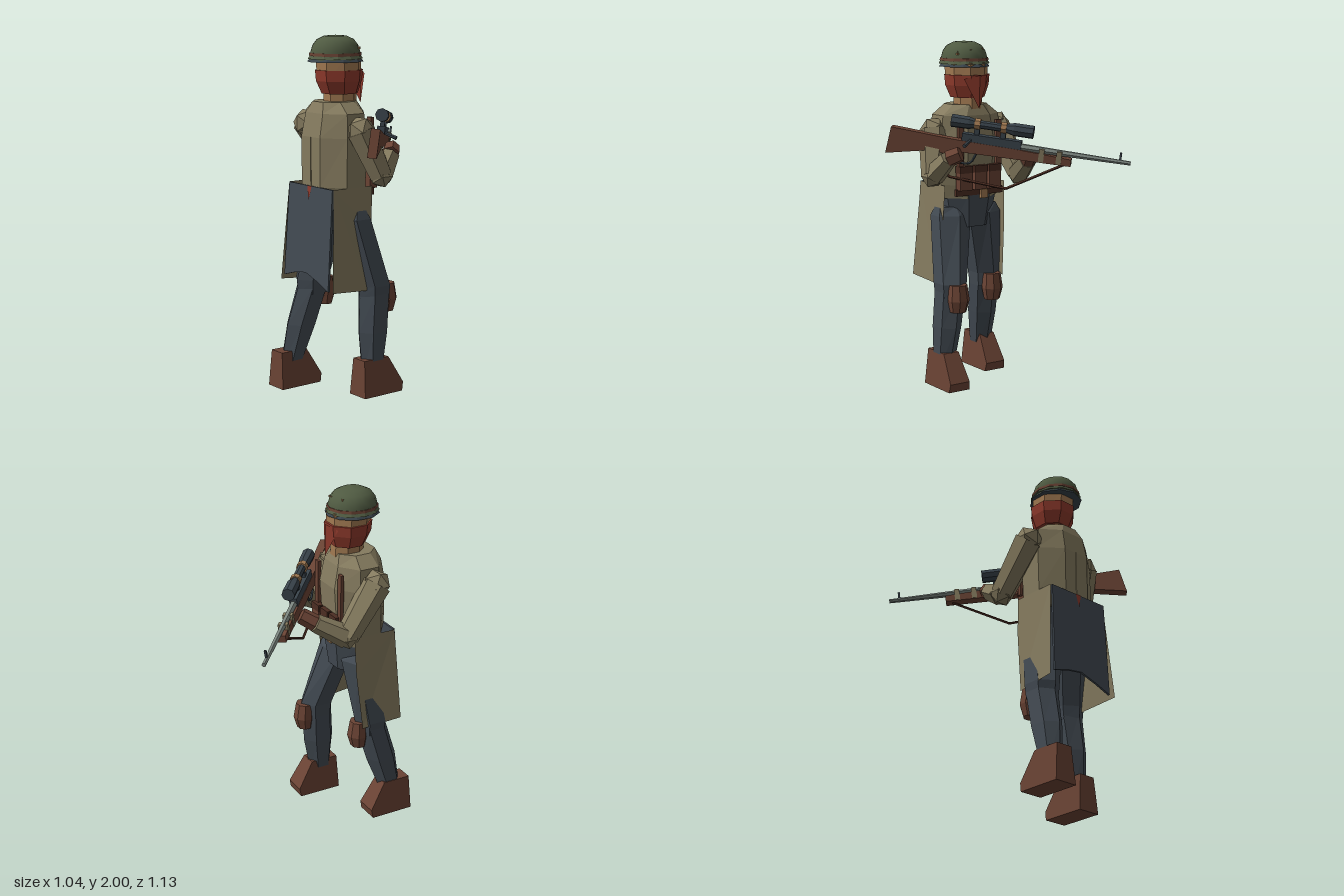
import * as THREE from 'three';

const mat = (name, color, side = THREE.FrontSide) => {
  const m = new THREE.MeshStandardMaterial({ color, side });
  m.name = name;
  return m;
};

export function createModel() {
  const root = new THREE.Group();
  root.name = 'soldier';
  const D = THREE.DoubleSide;
  const khaki = mat('khakiCoat', 0x857b5f, D), slate = mat('slateCloth', 0x434b53, D);
  const green = mat('helmetGreen', 0x505b42), brown = mat('leatherBrown', 0x6a4334);
  const red = mat('scarfRed', 0x8f3a2c, D), skin = mat('tanSkin', 0xa27a52);
  const steel = mat('barrelSteel', 0x7c8680), dark = mat('darkMetal', 0x39434b);
  const strap = mat('strapBrown', 0x4c2d22);

  const add = (parent, name, geo, material, pos = [0, 0, 0], smooth = false) => {
    if (!smooth) {
      if (geo.index) geo = geo.toNonIndexed();
      geo.computeVertexNormals();
    }
    const m = new THREE.Mesh(geo, material);
    m.name = name;
    m.position.set(...pos);
    parent.add(m);
    return m;
  };
  const box = (parent, name, size, pos, material) =>
    add(parent, name, new THREE.BoxGeometry(...size), material, pos);

  // Closed faceted body from horizontal rings [y, x, z, rx, rz], bottom to top
  const loft = (rings, sides = 8) => {
    const v = [], idx = [], k = 1 / Math.cos(Math.PI / sides);
    rings.forEach(([y, x, z, rx, rz]) => {
      for (let i = 0; i < sides; i++) {
        const a = (i + 0.5) / sides * Math.PI * 2;
        v.push(x + Math.cos(a) * rx * k, y, z + Math.sin(a) * rz * k);
      }
    });
    const top = rings.length - 1, n = rings.length * sides;
    for (const r of [rings[0], rings[top]]) v.push(r[1], r[0], r[2]);
    for (let i = 0; i < sides; i++) {
      const j = (i + 1) % sides;
      for (let r = 0; r < top; r++) {
        const a = r * sides + i, c = r * sides + j;
        idx.push(a, a + sides, c, c, a + sides, c + sides);
      }
      idx.push(n, i, j, n + 1, top * sides + j, top * sides + i);
    }
    const g = new THREE.BufferGeometry();
    g.setAttribute('position', new THREE.Float32BufferAttribute(v, 3));
    g.setIndex(idx);
    return g;
  };

  // Thin cloth: a fan of triangles
  const sheet = (pts) => {
    const v = [];
    for (let i = 1; i < pts.length - 1; i++) v.push(...pts[0], ...pts[i], ...pts[i + 1]);
    const g = new THREE.BufferGeometry();
    g.setAttribute('position', new THREE.Float32BufferAttribute(v, 3));
    return g;
  };

  // Tapered prism between two points
  const rod = (parent, name, p, q, r0, r1, material, sides = 6) => {
    const a = new THREE.Vector3(...p), b = new THREE.Vector3(...q), d = b.clone().sub(a);
    const m = add(parent, name, new THREE.CylinderGeometry(r1, r0, d.length(), sides), material);
    m.position.copy(a).add(b).multiplyScalar(0.5);
    m.quaternion.setFromUnitVectors(new THREE.Vector3(0, 1, 0), d.normalize());
    return m;
  };

  const polygon = (pts) => new THREE.Shape(pts.map(p => new THREE.Vector2(...p)));
  const slab = (pts, depth) => new THREE.ExtrudeGeometry(polygon(pts), { depth, bevelEnabled: false })
    .translate(0, 0, -depth / 2);

  // Head, scarf and helmet
  add(root, 'neck', loft([[1.6, 0.035, 0.255, 0.075, 0.09], [1.7, 0.035, 0.255, 0.075, 0.09]]), skin);
  add(root, 'head', loft([[1.74, 0.037, 0.262, 0.11, 0.115], [1.88, 0.037, 0.268, 0.118, 0.12]]), skin);
  add(root, 'scarf', loft([[1.68, 0.035, 0.257, 0.092, 0.096],
    [1.75, 0.035, 0.262, 0.117, 0.122], [1.81, 0.035, 0.262, 0.122, 0.127]]), red);
  add(root, 'scarfPoint', sheet([[0.045, 1.62, 0.12], [-0.04, 1.79, 0.155],
    [0.04, 1.81, 0.118], [0.125, 1.79, 0.155]]), red);
  const helmet = new THREE.Group();
  helmet.name = 'helmet';
  helmet.position.set(0.037, 0, 0.288);
  helmet.scale.z = 1.07;
  root.add(helmet);
  const dome = [[0.135, 1.865], [0.132, 1.91], [0.122, 1.945], [0.1, 1.975], [0.06, 1.995], [0, 2]]
    .map(p => new THREE.Vector2(...p));
  add(helmet, 'helmetDome', new THREE.LatheGeometry(dome, 16), green, [0, 0, 0], true);
  add(helmet, 'helmetRim', new THREE.CylinderGeometry(0.136, 0.148, 0.016, 10), dark, [0, 1.863, 0]);
  add(helmet, 'helmetLip', new THREE.CylinderGeometry(0.134, 0.145, 0.018, 12), green, [0, 1.88, 0]);
  add(helmet, 'helmetBand', new THREE.CylinderGeometry(0.137, 0.139, 0.016, 12), brown, [0, 1.896, 0]);
  for (const [x, y, z] of [[-0.06, 1.955, -0.09], [0.03, 1.95, -0.105], [0.09, 1.94, -0.07], [0.1, 1.93, -0.08]])
    box(helmet, 'helmetFleck', [0.012, 0.012, 0.012], [x, y, z], skin);

  // Coat body and collar
  add(root, 'coatBody', loft([[1.1, 0.03, 0.29, 0.18, 0.14], [1.18, 0.03, 0.3, 0.205, 0.155],
    [1.45, 0.03, 0.29, 0.206, 0.165], [1.58, 0.03, 0.29, 0.19, 0.14], [1.64, 0.03, 0.29, 0.115, 0.115]]), khaki);
  box(root, 'backSeam', [0.008, 0.27, 0.008], [0.03, 1.315, 0.455], khaki);

  // Coat tails
  const tail = add(root, 'backTail', slab([[-0.165, 0], [0.235, 0], [0.232, -0.56], [0.13, -0.52],
    [0.02, -0.485], [-0.08, -0.5], [-0.182, -0.53]], 0.012), slate, [0, 1.18, 0.456]);
  tail.rotation.x = -0.055;
  add(root, 'tailVent', sheet([[0.01, 1.18, 0.466], [0.03, 1.1, 0.472], [0.05, 1.18, 0.466]]), red);
  for (const s of [1, -1]) {
    const X = d => 0.03 + s * d;
    add(root, 'sideTail', sheet([[X(0.205), 1.18, 0.455], [X(0.205), 1.18, 0.19], [X(0.215), 0.95, 0.2],
      [X(0.23), 0.6, 0.24], [X(0.245), 0.62, 0.49]]), khaki);
  }

  // Belt gear on the chest
  for (const x of [-0.06, 0.04, 0.14]) {
    box(root, 'pouch', [0.08, 0.13, 0.05], [x, 1.22, 0.135], brown);
    box(root, 'pouchFlap', [0.084, 0.04, 0.054], [x, 1.275, 0.135], strap);
  }
  for (const x of [-0.1, 0.16]) box(root, 'chestStrap', [0.035, 0.3, 0.02], [x, 1.4, 0.14], brown);
  box(root, 'belt', [0.32, 0.04, 0.02], [0.03, 1.14, 0.15], strap);
  box(root, 'buckle', [0.045, 0.05, 0.03], [0.005, 1.125, 0.14], skin);

  // Legs, knee pads and boots
  add(root, 'pelvis', loft([[0.93, 0.03, 0.28, 0.13, 0.11], [1.12, 0.03, 0.28, 0.17, 0.135]]), slate);
  const legs = [
    { hip: [0.15, 0.265], knee: [0.22, 0.165], ankle: [0.245, 0.2], heel: 0.3 },
    { hip: [-0.06, 0.27], knee: [-0.13, 0.335], ankle: [-0.18, 0.455], heel: 0.56 },
  ];
  for (const { hip, knee, ankle, heel } of legs) {
    add(root, 'thigh', loft([[0.54, ...knee, 0.072, 0.085], [0.62, ...knee, 0.08, 0.092],
      [1.0, ...hip, 0.108, 0.085], [1.05, ...hip, 0.09, 0.05]], 6), slate);
    add(root, 'shin', loft([[0.12, ...ankle, 0.05, 0.055],
      [0.36, (knee[0] + ankle[0]) / 2, (knee[1] + ankle[1]) / 2, 0.068, 0.085],
      [0.58, ...knee, 0.075, 0.085]], 6), slate);
    add(root, 'kneePad', loft([[0.46, knee[0], knee[1] - 0.085, 0.045, 0.04],
      [0.53, knee[0], knee[1] - 0.09, 0.06, 0.055],
      [0.62, knee[0], knee[1] - 0.085, 0.05, 0.045]]), brown);
    const g = slab([[0, 0], [-0.265, 0], [-0.275, 0.05], [-0.18, 0.21], [-0.01, 0.21]], 0.14);
    const p = g.attributes.position;
    for (let i = 0; i < p.count; i++) p.setZ(i, p.getZ(i) * (1 - 1.3 * p.getY(i)));
    const boot = add(root, 'boot', g, brown, [ankle[0], 0, heel]);
    boot.rotation.y = -Math.PI / 2;
  }

  // Arms reaching to the rifle
  const arms = [
    { sh: [-0.2, 1.5, 0.31], el: [-0.225, 1.23, 0.11], wr: [-0.17, 1.33, -0.06], hand: [-0.13, 1.375, -0.13] },
    { sh: [0.255, 1.49, 0.28], el: [0.315, 1.245, 0.19], wr: [0.275, 1.35, 0.09], hand: [0.225, 1.38, 0.04] },
  ];
  for (const { sh, el, wr, hand } of arms) {
    add(root, 'shoulder', new THREE.IcosahedronGeometry(0.085, 0), khaki, sh);
    rod(root, 'upperArm', sh, el, 0.086, 0.068, khaki);
    add(root, 'elbow', new THREE.IcosahedronGeometry(0.07, 0), khaki, el);
    rod(root, 'forearm', el, wr, 0.068, 0.052, khaki);
    rod(root, 'glove', wr, hand, 0.05, 0.045, brown);
  }

  // Rifle: local +x points to the muzzle
  const rifle = new THREE.Group();
  rifle.name = 'rifle';
  rifle.position.set(0.088, 1.445, 0);
  rifle.rotation.set(0.12, 2.398, -0.132, 'YZX');
  root.add(rifle);
  add(rifle, 'stock', slab([[-0.56, -0.145], [-0.28, -0.085], [-0.2, -0.105], [-0.13, -0.075], [0.5, -0.065],
    [0.5, -0.025], [0.2, -0.012], [-0.12, -0.008], [-0.22, -0.005], [-0.54, 0.012]], 0.05), brown);
  box(rifle, 'receiver', [0.34, 0.06, 0.045], [0.04, 0.005, 0], dark);
  rod(rifle, 'barrel', [0.18, 0, 0], [0.83, 0, 0], 0.022, 0.012, steel);
  box(rifle, 'frontSight', [0.012, 0.045, 0.012], [0.77, 0.03, 0], dark);
  rod(rifle, 'bolt', [-0.08, 0, 0.02], [-0.1, -0.02, 0.09], 0.009, 0.012, dark);
  const guard = new THREE.CatmullRomCurve3([[-0.17, -0.09], [-0.13, -0.14], [-0.07, -0.135], [-0.04, -0.075]]
    .map(([x, y]) => new THREE.Vector3(x, y, 0)));
  add(rifle, 'triggerGuard', new THREE.TubeGeometry(guard, 8, 0.007, 5), dark);
  for (const x of [0.33, 0.43]) box(rifle, 'barrelBand', [0.03, 0.075, 0.056], [x, -0.027, 0], khaki);

  // Scope with mounts
  const scope = [[-0.2, -0.1, 0.038, 0.036], [-0.1, -0.06, 0.036, 0.024], [-0.06, 0.11, 0.024, 0.024],
    [0.11, 0.16, 0.024, 0.038], [0.16, 0.27, 0.038, 0.038]];
  for (const [a, b, r0, r1] of scope) rod(rifle, 'scopeTube', [a, 0.095, 0], [b, 0.095, 0], r0, r1, dark, 8);
  for (const x of [-0.05, 0.1]) {
    rod(rifle, 'scopeRing', [x - 0.016, 0.095, 0], [x + 0.016, 0.095, 0], 0.033, 0.033, skin, 8);
    box(rifle, 'scopeMount', [0.03, 0.06, 0.025], [x, 0.05, 0], dark);
  }

  // Hanging sling
  const sling = [[0.46, -0.065], [0.15, -0.255], [-0.18, -0.235], [-0.34, -0.1]];
  for (let i = 0; i < 3; i++) rod(rifle, 'sling', [...sling[i], 0], [...sling[i + 1], 0], 0.008, 0.008, strap, 4);

  return root;
}
